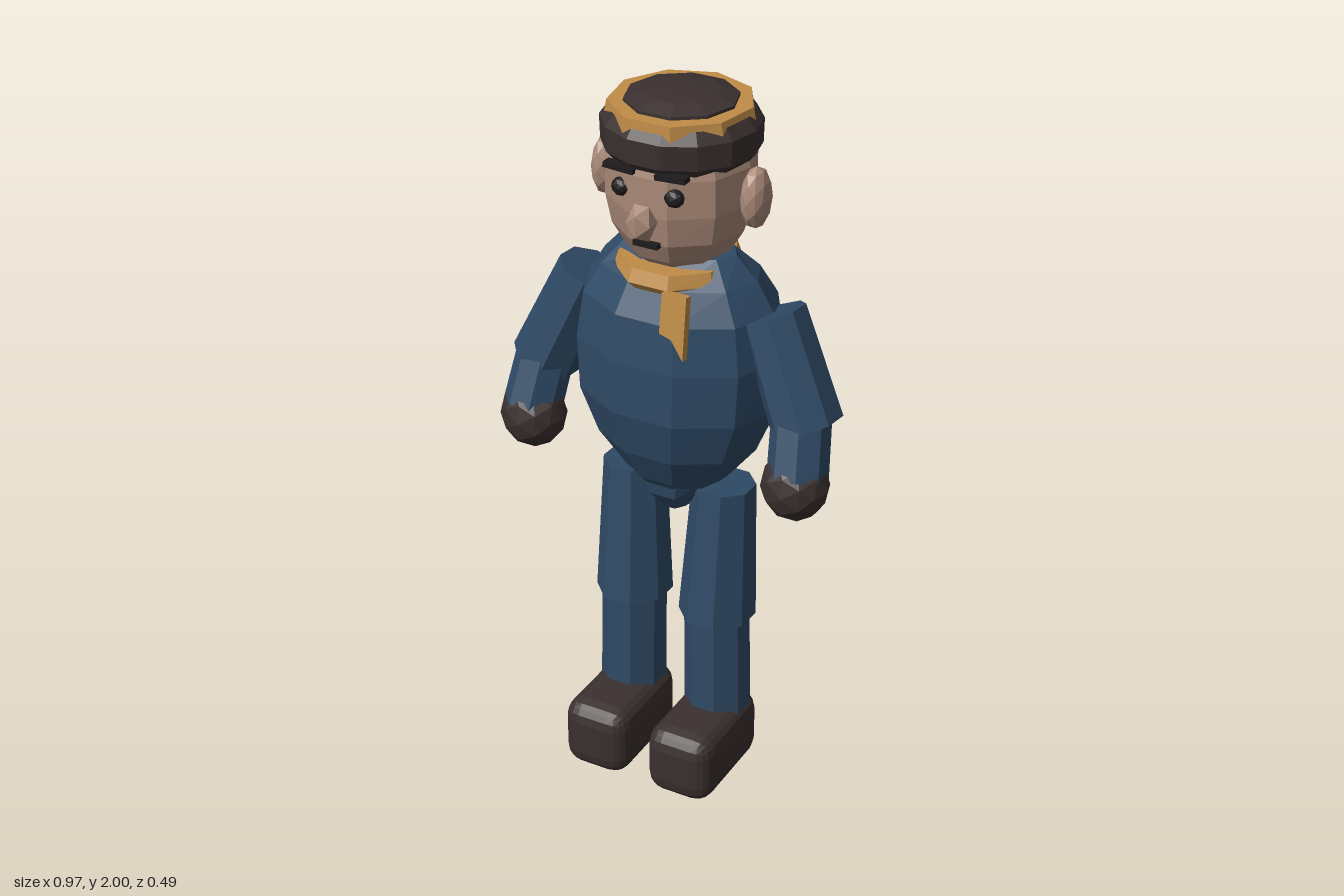
import * as THREE from 'three';
import { RoundedBoxGeometry } from 'three/addons/geometries/RoundedBoxGeometry.js';

const mat = (name, color) => {
  const m = new THREE.MeshStandardMaterial({ color, flatShading: true });
  m.name = name;
  return m;
};

// Closed body through horizontal rings [y, radiusX, radiusZ, centreZ]
function loft(rings, sides) {
  const pos = [], index = [];
  for (const [y, rx, rz, cz] of rings) {
    for (let j = 0; j < sides; j++) {
      const a = ((j + 0.5) / sides) * Math.PI * 2;
      pos.push(rx * Math.sin(a), y, cz + rz * Math.cos(a));
    }
  }
  const last = rings.length - 1;
  const bottom = rings.length * sides, top = bottom + 1;
  pos.push(0, rings[0][0], rings[0][3], 0, rings[last][0], rings[last][3]);
  for (let j = 0; j < sides; j++) {
    const k = (j + 1) % sides;
    for (let i = 0; i < last; i++) {
      const a = i * sides + j, b = i * sides + k;
      index.push(a, b, b + sides, a, b + sides, a + sides);
    }
    index.push(bottom, k, j, top, last * sides + j, last * sides + k);
  }
  const g = new THREE.BufferGeometry();
  g.setAttribute('position', new THREE.Float32BufferAttribute(pos, 3));
  g.setIndex(index);
  g.computeVertexNormals();
  return g;
}

// Tapered limb between two points, widened in depth
function limb(from, to, r0, r1, depth = 1, sides = 8) {
  const a = new THREE.Vector3(...from), b = new THREE.Vector3(...to);
  const dir = a.clone().sub(b);
  const g = new THREE.CylinderGeometry(r0, r1, dir.length(), sides);
  g.rotateY(Math.PI / sides).scale(1, 1, depth);
  g.applyQuaternion(new THREE.Quaternion().setFromUnitVectors(new THREE.Vector3(0, 1, 0), dir.normalize()));
  const c = a.add(b).multiplyScalar(0.5);
  return g.translate(c.x, c.y, c.z);
}

const ball = (x, y, z, rx, ry, rz, detail = 1) =>
  new THREE.IcosahedronGeometry(1, detail).scale(rx, ry, rz).translate(x, y, z);

export function createModel() {
  const blue = mat('blue cloth', 0x2f4a66);
  const skin = mat('skin', 0xaa8a79);
  const dark = mat('dark leather', 0x3a302f);
  const gold = mat('gold cloth', 0xbf8c47);
  const black = mat('black', 0x1e1b1c);
  const model = new THREE.Group();
  const add = (name, geometry, material, parent = model) => {
    const m = new THREE.Mesh(geometry, material);
    m.name = name;
    parent.add(m);
    return m;
  };

  // Body
  add('torso', loft([
    [0.88, 0.11, 0.09, -0.02], [0.92, 0.15, 0.13, -0.025], [1.02, 0.23, 0.185, -0.025],
    [1.15, 0.285, 0.22, -0.027], [1.3, 0.295, 0.222, -0.03], [1.43, 0.275, 0.205, -0.03],
    [1.51, 0.225, 0.16, -0.03], [1.575, 0.165, 0.085, -0.025],
  ], 10), blue);
  add('pelvis', loft([
    [0.8, 0.035, 0.05, -0.02], [0.86, 0.1, 0.1, -0.02], [0.93, 0.14, 0.115, -0.02],
  ], 8), blue);

  // Scarf with hanging end
  add('scarf', loft([
    [1.49, 0.12, 0.155, -0.025], [1.52, 0.165, 0.18, -0.025], [1.555, 0.155, 0.165, -0.025],
  ], 9), gold);
  const tail = new THREE.Shape([[0.05, 0.02], [0.05, -0.09], [0.085, -0.1], [0.122, -0.15], [0.12, 0.02]]
    .map(([x, y]) => new THREE.Vector2(x, y)));
  const end = add('scarfEnd', new THREE.ExtrudeGeometry(tail, { depth: 0.025, bevelEnabled: false }), gold);
  end.position.set(0, 1.5, 0.138);
  end.rotation.x = -0.14;

  // Head and face
  const cz = -0.035;
  add('head', loft([
    [1.54, 0.1, 0.1, cz], [1.58, 0.142, 0.15, cz], [1.64, 0.178, 0.182, cz],
    [1.72, 0.195, 0.195, cz], [1.82, 0.195, 0.195, cz], [1.88, 0.18, 0.18, cz],
  ], 10), skin);
  add('nose', ball(0, 1.71, 0.172, 0.04, 0.055, 0.04, 0), skin);
  add('mouth', new THREE.BoxGeometry(0.07, 0.014, 0.03).translate(0, 1.642, 0.142), black);
  for (const s of [1, -1]) {
    const side = s > 0 ? 'left' : 'right';
    add(side + 'Ear', ball(s * 0.215, 1.745, -0.03, 0.037, 0.085, 0.055), skin);
    add(side + 'Eye', ball(s * 0.075, 1.78, 0.14, 0.027, 0.025, 0.022), black);
    const brow = add(side + 'Brow', new THREE.BoxGeometry(0.085, 0.014, 0.03), black);
    brow.position.set(s * 0.073, 1.837, 0.148);
    brow.rotation.z = s * 0.06;
  }

  // Cap: dark band, gold rim, dark crown
  add('capBand', loft([
    [1.83, 0.185, 0.18, cz], [1.855, 0.207, 0.2, cz], [1.92, 0.209, 0.202, cz], [1.95, 0.187, 0.18, cz],
  ], 14), dark);
  add('capRim', loft([
    [1.915, 0.198, 0.195, cz], [1.967, 0.187, 0.19, cz],
  ], 9), gold);
  add('capCrown', loft([
    [1.95, 0.148, 0.15, cz], [1.975, 0.147, 0.148, cz], [1.992, 0.1, 0.1, cz], [2.0, 0.04, 0.04, cz],
  ], 10), dark);

  // Limbs, mirrored by side
  for (const s of [1, -1]) {
    const side = s > 0 ? 'left' : 'right';
    const arm = new THREE.Group();
    arm.name = side + 'Arm';
    add('upperArm', limb([s * 0.27, 1.435, -0.03], [s * 0.392, 1.155, 0.005], 0.085, 0.094, 1.15), blue, arm);
    add('forearm', limb([s * 0.382, 1.19, 0.02], [s * 0.4, 1.035, 0.072], 0.078, 0.08, 1.05), blue, arm);
    add('mitten', ball(s * 0.395, 1.015, 0.075, 0.092, 0.098, 0.088), dark, arm);

    const leg = new THREE.Group();
    leg.name = side + 'Leg';
    add('thigh', limb([s * 0.137, 0.895, -0.025], [s * 0.13, 0.49, -0.005], 0.086, 0.106, 1.04), blue, leg);
    add('shin', limb([s * 0.13, 0.5, -0.003], [s * 0.135, 0.18, -0.003], 0.09, 0.092, 1.03), blue, leg);
    const shoe = new RoundedBoxGeometry(0.198, 0.21, 0.335, 2, 0.055);
    add('shoe', shoe.translate(s * 0.132, 0.105, 0.08), dark, leg);
    model.add(arm, leg);
  }
  return model;
}
